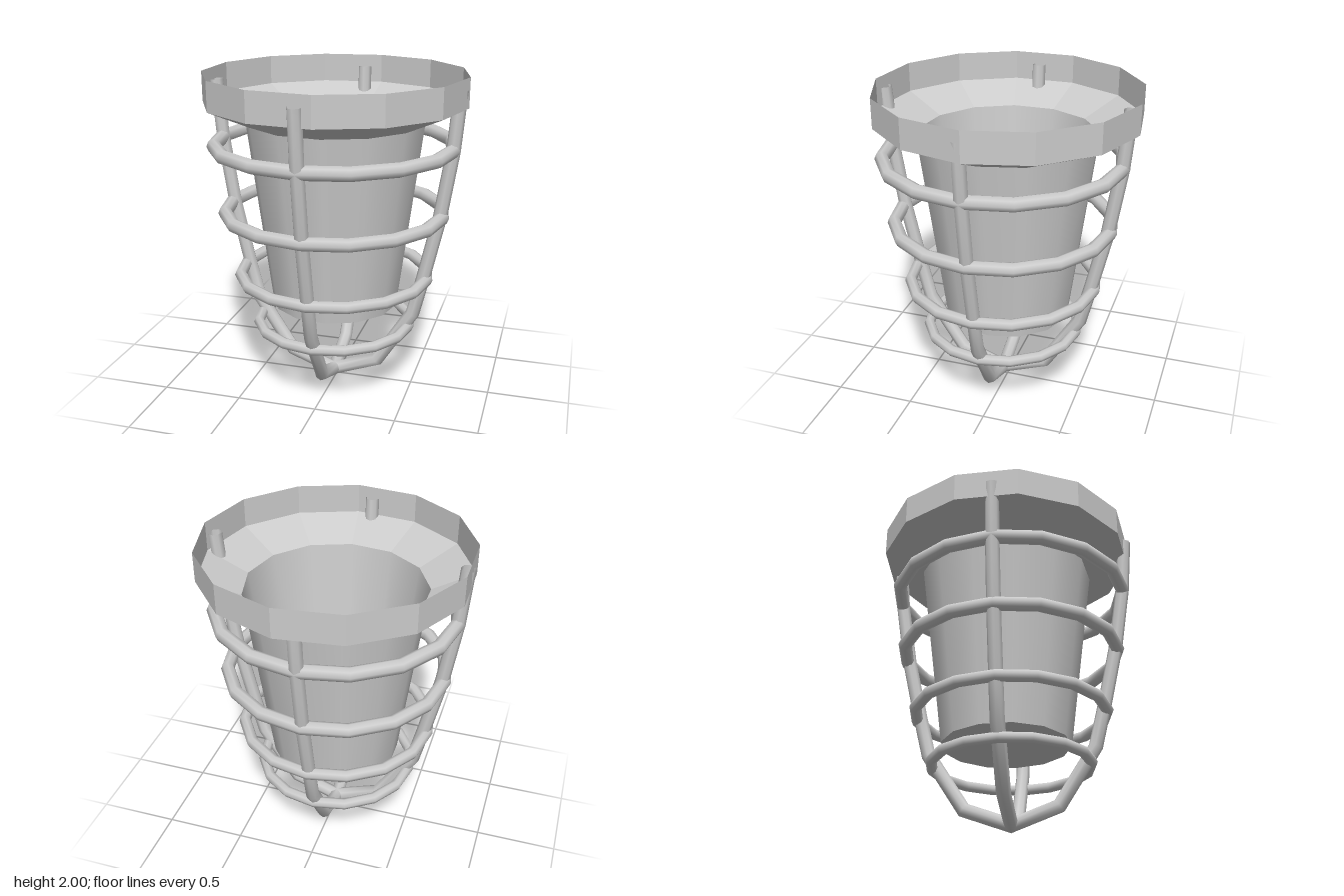
import * as THREE from 'three';

const SIDES = 13;
const smooth = new THREE.MeshStandardMaterial({ color: 0xcccccc, side: THREE.DoubleSide });
const faceted = new THREE.MeshStandardMaterial({ color: 0xcccccc, side: THREE.DoubleSide, flatShading: true });

function addMesh(parent, name, geometry, material) {
  const mesh = new THREE.Mesh(geometry, material);
  mesh.name = name;
  parent.add(mesh);
  return mesh;
}

// Open 13-sided band between two heights, with a corner on +x
function band(rTop, yTop, rBottom, yBottom) {
  return new THREE.CylinderGeometry(rTop, rBottom, yTop - yBottom, SIDES, 1, true, Math.PI / 2)
    .translate(0, (yTop + yBottom) / 2, 0);
}

// Round bar swept along a path in the xy plane, with mitred corners and open ends
function mitredBar(path, radius, sides) {
  const positions = [], index = [];
  path.forEach((p, i) => {
    const before = p.clone().sub(path[Math.max(i - 1, 0)]).normalize();
    const after = path[Math.min(i + 1, path.length - 1)].clone().sub(p).normalize();
    const tangent = before.clone().add(after).normalize();
    const miter = 1 / Math.max(tangent.dot(after), tangent.dot(before));
    for (let j = 0; j < sides; j++) {
      const a = (j / sides) * Math.PI * 2;
      const off = Math.cos(a) * radius * miter;
      positions.push(p.x - tangent.y * off, p.y + tangent.x * off, Math.sin(a) * radius);
      if (i === path.length - 1) continue;
      const k = (j + 1) % sides, row = i * sides, next = row + sides;
      index.push(row + j, next + j, row + k, row + k, next + j, next + k);
    }
  });
  const geometry = new THREE.BufferGeometry();
  geometry.setAttribute('position', new THREE.Float32BufferAttribute(positions, 3));
  geometry.setIndex(index);
  geometry.computeVertexNormals();
  return geometry;
}

export function createModel() {
  const model = new THREE.Group();
  model.name = 'cagedLamp';

  // Thin cup: upright rim, sloping flange, tapered wall and shallow pointed floor
  const cup = new THREE.Group();
  cup.name = 'cup';
  cup.position.x = -0.01;
  addMesh(cup, 'rim', band(0.803, 2, 0.803, 1.82), faceted);
  addMesh(cup, 'flange', band(0.803, 1.82, 0.55, 1.71), faceted);
  addMesh(cup, 'cupWall', band(0.55, 1.71, 0.4, 0.54), smooth);
  addMesh(cup, 'cupFloor', band(0.4, 0.54, 0, 0.49), smooth);
  model.add(cup);

  // Guard cage, set slightly forward of the cup
  const cage = new THREE.Group();
  cage.name = 'cage';
  cage.position.set(-0.008, 0, 0.03);

  // Two crossing bars, each running down one side, under the cup and up the other
  const half = [
    [0.755, 1.93], [0.725, 1.57], [0.66, 1.15], [0.568, 0.74], [0.512, 0.51], [0.285, 0.155],
  ].map(([x, y]) => new THREE.Vector2(x, y));
  const mirrored = half.map((p) => new THREE.Vector2(-p.x, p.y)).reverse();
  const bar = mitredBar([...half, new THREE.Vector2(0, 0.05), ...mirrored], 0.043, 8);
  addMesh(cage, 'sideBar', bar, smooth);
  addMesh(cage, 'frontBackBar', bar, smooth).rotation.y = Math.PI / 2;

  // Horizontal hoops: height, outer radius, tube radius
  [
    [1.572, 0.77, 0.043], [1.153, 0.717, 0.042], [0.742, 0.63, 0.037], [0.415, 0.52, 0.034],
  ].forEach(([y, outer, tube], i) => {
    const hoop = addMesh(cage, `hoop${i + 1}`, new THREE.TorusGeometry(outer - tube, tube, 8, 16), smooth);
    hoop.rotation.x = Math.PI / 2;
    hoop.position.y = y;
  });
  model.add(cage);

  return model;
}
